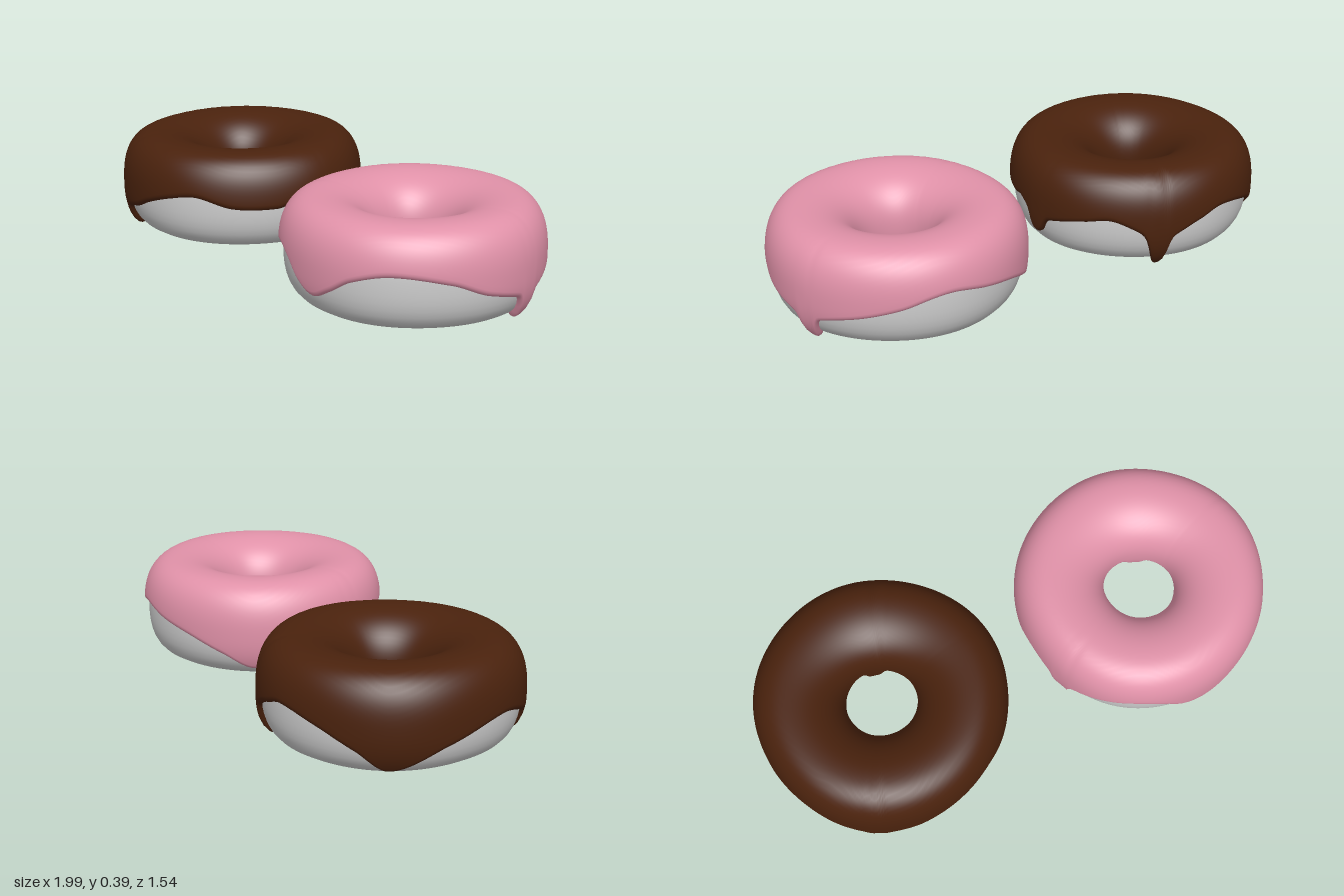
import * as THREE from 'three';

const N = 600;      // samples around the tube profile
const SEG = 300;    // segments around the ring
const THICK = 0.02; // icing thickness

// Tube cross-section (x = radius, y = height): squarer outside, rounder inside.
// Runs from the bottom crest, up the hole, over the top and down the outside.
function makeProfile() {
  const pow = (v, p) => Math.sign(v) * Math.pow(Math.abs(v), p);
  const pts = [];
  for (let i = 0; i < 48; i++) {
    const t = (i / 48) * Math.PI * 2, s = Math.sin(t);
    const r = s > 0 ? 0.35 - 0.19 * s : 0.35 + 0.13 * Math.pow(-s, 0.75);
    pts.push(new THREE.Vector3(r, 0.188 - 0.183 * pow(Math.cos(t), 0.8), 0));
  }
  const curve = new THREE.CatmullRomCurve3(pts, true);
  curve.arcLengthDivisions = 2000;
  return curve.getSpacedPoints(N).slice(0, N);
}
const profile = makeProfile();
const arcStep = profile[0].distanceTo(profile[1]);
const topIndex = profile.reduce((best, p, i) => (p.y > profile[best].y ? i : best), 0);

// Point at fractional profile index, pushed outward by an offset
function profileAt(u, offset) {
  const i = Math.floor(u), f = u - i;
  const at = k => profile[((k % N) + N) % N];
  const p = at(i).clone().lerp(at(i + 1), f);
  const d = at(i + 4).clone().sub(at(i - 3)).normalize();
  return { r: p.x - d.y * offset, y: Math.max(0.002, p.y + d.x * offset) };
}

// Profile index where the inner or outer wall reaches height y
function indexAtHeight(y, outer) {
  const step = outer ? 1 : -1;
  let i = topIndex;
  while (profile[(i + step + N) % N].y > y && i > 1 && i < N - 2) i += step;
  const a = profile[i].y, b = profile[(i + step + N) % N].y;
  return i + step * THREE.MathUtils.clamp((a - y) / (a - b || 1), 0, 1);
}

// Smooth periodic curve through [degrees, height] keys sorted by degrees
function periodic(keys, deg) {
  const n = keys.length;
  const key = i => {
    const k = ((i % n) + n) % n;
    return [keys[k][0] + 360 * Math.floor(i / n), keys[k][1]];
  };
  let d = deg;
  while (d < keys[0][0]) d += 360;
  while (d >= keys[0][0] + 360) d -= 360;
  let i = 0;
  while (key(i + 1)[0] <= d) i++;
  const [p, a, b, q] = [key(i - 1), key(i), key(i + 1), key(i + 2)];
  const h = b[0] - a[0], t = (d - a[0]) / h;
  const ma = ((b[1] - p[1]) / (b[0] - p[0])) * h, mb = ((q[1] - a[1]) / (q[0] - a[0])) * h;
  const t2 = t * t, t3 = t2 * t;
  return (2 * t3 - 3 * t2 + 1) * a[1] + (t3 - 2 * t2 + t) * ma + (3 * t2 - 2 * t3) * b[1] + (t3 - t2) * mb;
}

// Edge height with narrow drips [degrees, tip height, half width] pulled down
function edgeHeight(keys, drips, deg) {
  let y = periodic(keys, deg), weight = 0;
  for (const [centre, tip, width] of drips) {
    const d = Math.abs((((deg - centre + 540) % 360) + 360) % 360 - 180) / width;
    const w = 0.88 * Math.exp(-d * d * d) + 0.12 * Math.exp(-d * d * 0.3);
    y += (Math.min(tip, y) - y) * w;
    weight = Math.max(weight, w);
  }
  return { y, weight };
}

// Ring surface from one column of points per angle; columns may close on themselves
function ringSurface(rows, closed, column) {
  const pos = [], index = [];
  for (let i = 0; i < SEG; i++) {
    const a = (i / SEG) * Math.PI * 2;
    const wobble = 1 + 0.007 * Math.sin(3 * a + 0.6) + 0.005 * Math.sin(5 * a);
    for (const { r, y } of column(a)) pos.push(r * wobble * Math.cos(a), y, r * wobble * Math.sin(a));
    const i2 = (i + 1) % SEG;
    for (let j = 0; j < (closed ? rows : rows - 1); j++) {
      const j2 = (j + 1) % rows;
      const a0 = i * rows + j, b0 = i2 * rows + j, a1 = i * rows + j2, b1 = i2 * rows + j2;
      index.push(a0, b0, b1, a0, b1, a1);
    }
  }
  const g = new THREE.BufferGeometry();
  g.setAttribute('position', new THREE.Float32BufferAttribute(pos, 3));
  g.setIndex(index);
  g.computeVertexNormals();
  return g;
}

function doughGeometry() {
  const rows = 40;
  return ringSurface(rows, true, () =>
    Array.from({ length: rows }, (_, j) => profileAt((j / rows) * N, 0)));
}

// Icing shell whose thickness rounds off to nothing at both edges
function icingGeometry(spec) {
  const ends = [0, 0.001, 0.004, 0.009, 0.016, 0.024], mid = 30;
  const round = d => Math.sqrt(1 - Math.pow(1 - THREE.MathUtils.clamp((d * arcStep) / 0.024, 0, 1), 2));
  return ringSurface(ends.length * 2 + mid, false, a => {
    const deg = (a * 180) / Math.PI;
    const inner = edgeHeight(spec.inner, spec.innerDrips, deg);
    const outer = edgeHeight(spec.outer, spec.outerDrips, deg);
    const u0 = indexAtHeight(inner.y, false), u1 = indexAtHeight(outer.y, true);
    const e = ends[ends.length - 1] / arcStep;
    const us = ends.map(d => u0 + d / arcStep);
    for (let j = 1; j <= mid; j++) us.push(u0 + e + ((u1 - u0 - 2 * e) * j) / (mid + 1));
    for (const d of [...ends].reverse()) us.push(u1 - d / arcStep);
    return us.map(u => {
      const fromTip = ((u1 - u) * arcStep) / 0.1;
      const bulge = 0.3 * outer.weight * Math.exp(-fromTip * fromTip);
      return profileAt(u, THICK * (1 + bulge) * round(u - u0) * round(u1 - u) - 0.001);
    });
  });
}

// Icing edges: degrees run from +x towards the front (+z)
const pinkSpec = {
  outer: [[-107, 0.11], [-90, 0.165], [-72, 0.2], [-56, 0.225], [-45, 0.215], [-32, 0.18], [-7, 0.13],
    [12, 0.105], [35, 0.14], [52, 0.195], [77, 0.225], [95, 0.19], [106, 0.135], [116, 0.098],
    [125, 0.13], [133, 0.185], [143, 0.215], [155, 0.205], [184, 0.14], [208, 0.16], [236, 0.05]],
  outerDrips: [[12, 0.015, 4], [185, 0.015, 4.5]],
  inner: [[0, 0.16], [60, 0.18], [120, 0.15], [180, 0.16], [240, 0.18], [300, 0.15]],
  innerDrips: [[109, 0.08, 11], [147, 0.075, 16], [203, 0.08, 10], [320, 0.1, 13]],
};
const brownSpec = {
  outer: [[-122, 0.035], [-108, 0.11], [-90, 0.18], [-70, 0.215], [-57, 0.185], [-37, 0.13], [-26, 0.17],
    [-14, 0.205], [-2, 0.19], [25, 0.15], [39, 0.19], [47, 0.18], [68, 0.185], [86, 0.223],
    [100, 0.205], [115, 0.165], [128, 0.12], [145, 0.1], [158, 0.13], [182, 0.18], [212, 0.12]],
  outerDrips: [[-37, 0.012, 4.5], [25, 0.085, 4.5], [145, 0.015, 4]],
  inner: [[0, 0.17], [70, 0.15], [140, 0.17], [200, 0.15], [280, 0.18]],
  innerDrips: [[165, 0.08, 10], [105, 0.12, 14], [310, 0.1, 13]],
};

export function createModel() {
  const material = (name, color) => {
    const m = new THREE.MeshStandardMaterial({ color });
    m.name = name;
    return m;
  };
  const dough = material('dough grey', 0xcccccc);
  const pink = material('pink icing', 0xe091a8);
  const brown = material('chocolate icing', 0x4a220d);
  const doughShape = doughGeometry();

  const model = new THREE.Group();
  model.name = 'doughnuts';
  const addDoughnut = (name, x, z, icing, spec) => {
    const group = new THREE.Group();
    group.name = name;
    group.position.set(x, 0, z);
    const base = new THREE.Mesh(doughShape, dough);
    base.name = 'dough';
    const top = new THREE.Mesh(icingGeometry(spec), icing);
    top.name = 'icing';
    group.add(base, top);
    model.add(group);
  };
  addDoughnut('pinkDoughnut', 0.495, 0.27, pink, pinkSpec);
  addDoughnut('chocolateDoughnut', -0.495, -0.275, brown, brownSpec);
  return model;
}
